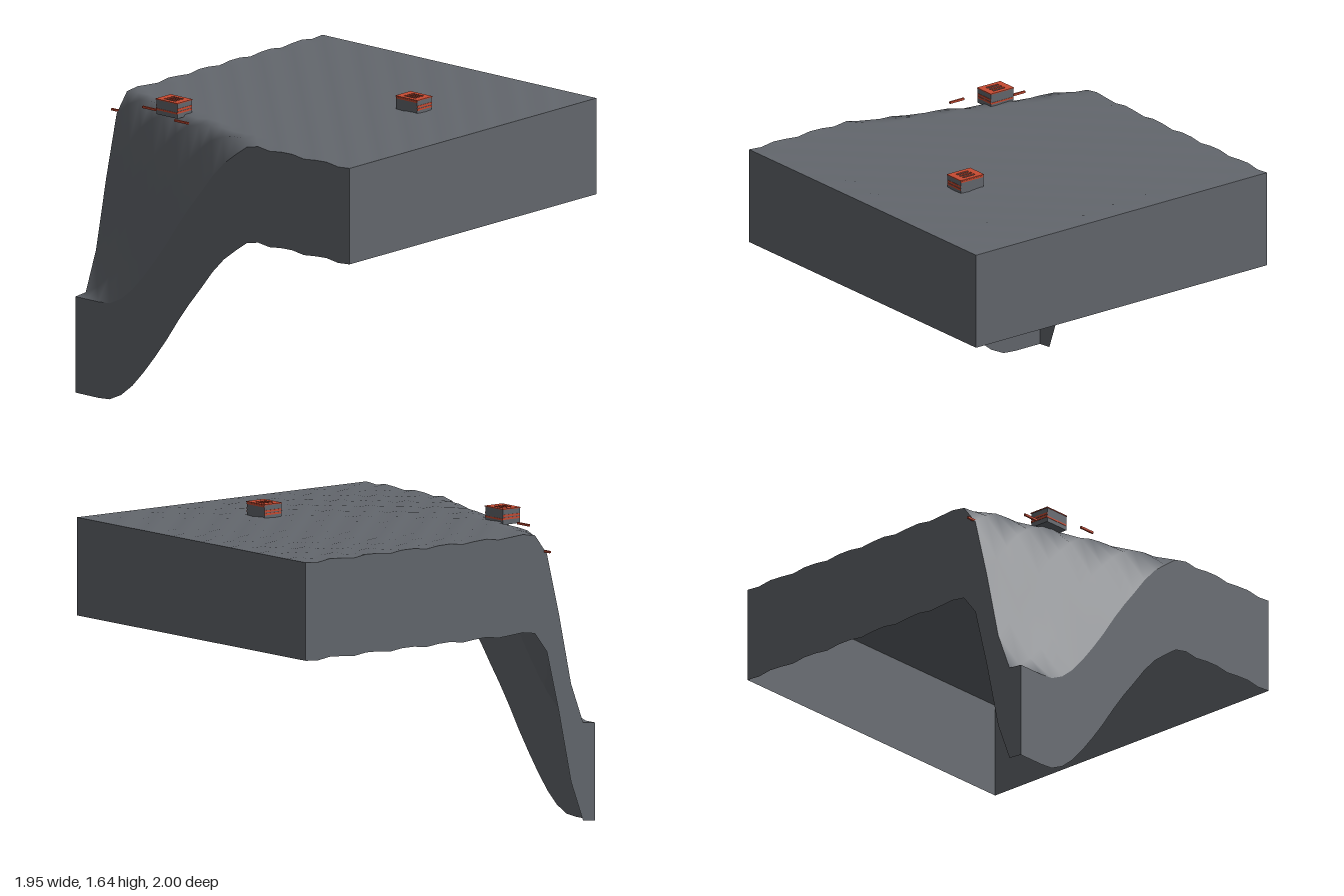
import * as THREE from 'three';

const rock = new THREE.MeshStandardMaterial({ color: 0x63676d, side: THREE.DoubleSide });
rock.name = 'slate grey';
const red = new THREE.MeshStandardMaterial({ color: 0xc84b32 });
red.name = 'signal red';

const CELLS = 24, X0 = -0.975, X1 = 0.975, Z0 = -0.955, Z1 = 0.995, DEPTH = 0.525;
const lerp = THREE.MathUtils.lerp;

// Ground height: rippled plain falling into a ravine at the back corner
function height(x, z) {
  const rim = lerp(-0.9, -0.86, THREE.MathUtils.clamp(z + 0.95, 0, 1));
  const plain = THREE.MathUtils.smoothstep(x + 0.33 * z, -1.225, rim);
  const ripple = 0.007 * Math.sin(25 * (x - X1)) * Math.sin(25 * (z - Z1));
  return DEPTH + plain * (1.047 + ripple);
}

// Grid surface from a rule; its front faces du x dv
function patch(name, nu, nv, point) {
  const pos = [], index = [];
  for (let i = 0; i <= nu; i++)
    for (let j = 0; j <= nv; j++) pos.push(...point(i / nu, j / nv));
  for (let i = 0; i < nu; i++)
    for (let j = 0; j < nv; j++) {
      const a = i * (nv + 1) + j, b = a + nv + 1;
      index.push(a, b, a + 1, b, b + 1, a + 1);
    }
  const geo = new THREE.BufferGeometry();
  geo.setAttribute('position', new THREE.Float32BufferAttribute(pos, 3));
  geo.setIndex(index);
  geo.computeVertexNormals();
  const mesh = new THREE.Mesh(geo, rock);
  mesh.name = name;
  return mesh;
}

// Vertical wall hanging under one edge of the ground
function skirt(name, xa, za, xb, zb) {
  return patch(name, CELLS, 1, (u, v) => {
    const x = lerp(xa, xb, u), z = lerp(za, zb, u);
    return [x, height(x, z) - DEPTH * (1 - v), z];
  });
}

function box(name, w, h, d, x, y, z, material) {
  const mesh = new THREE.Mesh(new THREE.BoxGeometry(w, h, d), material);
  mesh.position.set(x, y, z);
  mesh.name = name;
  return mesh;
}

function rectangle(path, x, y, w, h) {
  path.moveTo(x - w / 2, y - h / 2);
  path.lineTo(x + w / 2, y - h / 2);
  path.lineTo(x + w / 2, y + h / 2);
  path.lineTo(x - w / 2, y + h / 2);
  path.closePath();
  return path;
}

// Small hut with a slotted red roof and red bands
function hut(name, x, z, sideBandY) {
  const group = new THREE.Group();
  group.name = name;
  group.position.set(x, 1.56, z);
  group.add(box('hutBody', 0.114, 0.081, 0.15, 0, 0.0405, 0, rock));

  const roof = rectangle(new THREE.Shape(), 0, 0, 0.12, 0.156);
  for (const s of [-0.027, 0, 0.027])
    roof.holes.push(rectangle(new THREE.Path(), s, 0, 0.014, 0.08));
  const geo = new THREE.ExtrudeGeometry(roof, { depth: 0.005, bevelEnabled: false });
  geo.rotateX(-Math.PI / 2);
  const plate = new THREE.Mesh(geo, red);
  plate.position.y = 0.08;
  plate.name = 'slottedRoof';
  group.add(plate);

  for (const s of [-1, 1]) {
    for (const y of [0.032, 0.048])
      group.add(box('endBand', 0.114, 0.011, 0.003, 0, y, s * 0.0755, red));
    group.add(box('sideBand', 0.003, 0.009, 0.15, s * 0.0575, sideBandY, 0, red));
  }
  return group;
}

export function createModel() {
  const model = new THREE.Group();
  model.name = 'terrainBlock';

  // Ground and its four walls; the underside is open
  model.add(patch('ground', CELLS, CELLS, (u, v) => {
    const x = lerp(X0, X1, v), z = lerp(Z0, Z1, u);
    return [x, height(x, z), z];
  }));
  model.add(skirt('frontWall', X0, Z1, X1, Z1));
  model.add(skirt('leftWall', X1, Z1, X1, Z0));
  model.add(skirt('backWall', X1, Z0, X0, Z0));
  model.add(skirt('rightWall', X0, Z0, X0, Z1));

  // Huts
  model.add(hut('ravineHut', -0.735, -0.47, 0.028));
  model.add(hut('plainHut', 0.16, 0.43, 0.074));

  // Red markers along the ravine rim
  for (const [x, y, z] of [[-0.637, 1.475, -0.952], [-0.75, 1.567, -0.63], [-0.857, 1.572, -0.306]])
    model.add(box('rimMarker', 0.011, 0.011, 0.096, x, y, z, red));

  return model;
}
